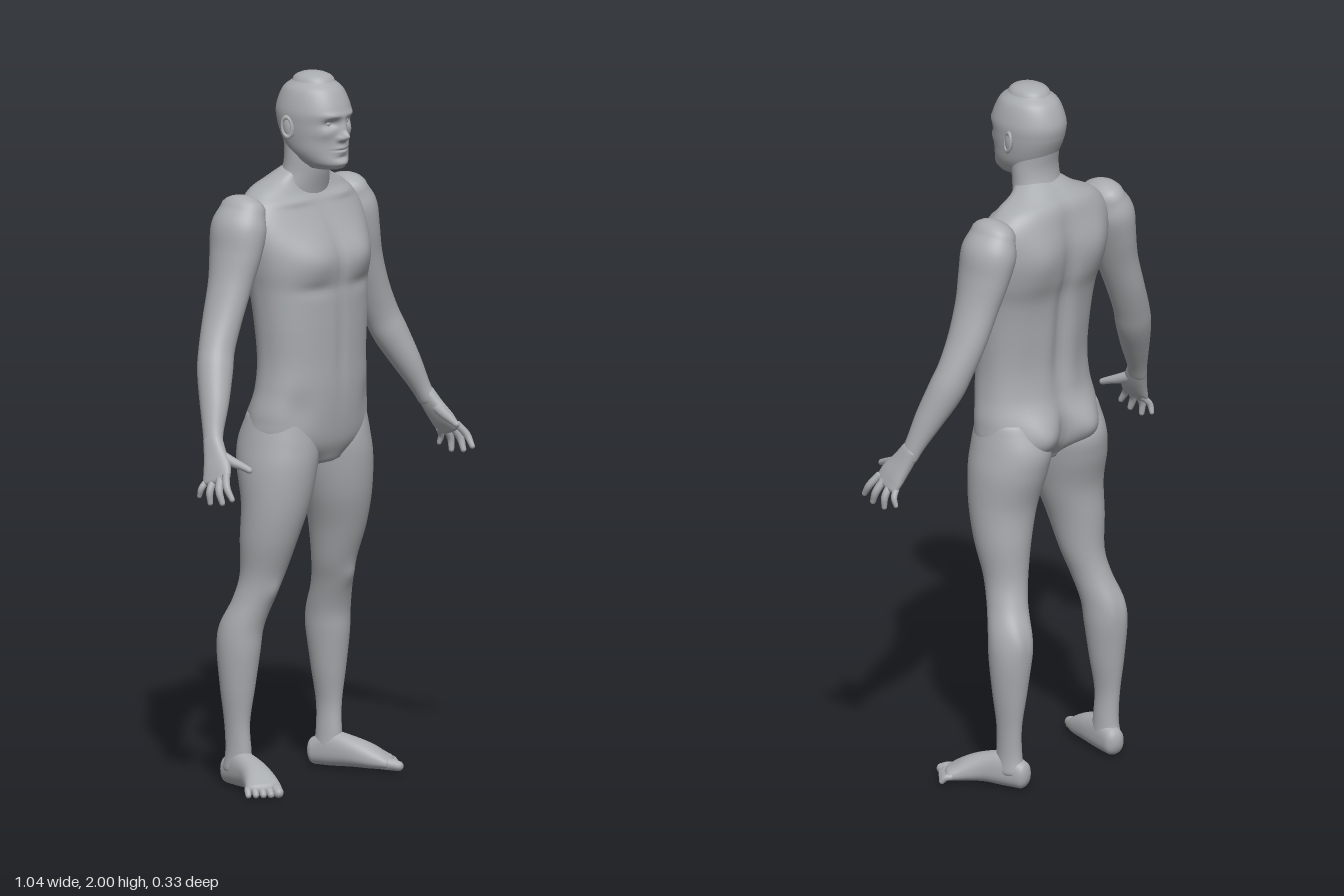
import * as THREE from 'three';

const skin = new THREE.MeshStandardMaterial({ color: 0xa9acaf });
skin.name = 'grey skin';

const X = new THREE.Vector3(1, 0, 0), Y = new THREE.Vector3(0, 1, 0), Z = new THREE.Vector3(0, 0, 1);
const DOWN = new THREE.Vector3(0, -1, 0);

// Sum of soft bumps [x, y, spreadX, spreadY, height], mirrored across x
function swell(list, x, y) {
  let sum = 0;
  for (const [bx, by, sx, sy, h] of list) {
    for (const s of bx ? [1, -1] : [1]) {
      sum += h * Math.exp(-(((x - s * bx) / sx) ** 2) - ((y - by) / sy) ** 2);
    }
  }
  return sum;
}

// Smooth skin through rings [x, y, z, halfWidth, frontDepth, backDepth], with rounded ends
function loft(rings, { ref = Z, flat = false, segs = 32, steps = 6, caps = [0.01, 0.01], power = 2, front = [], back = [] } = {}) {
  const path = new THREE.CatmullRomCurve3(rings.map(r => new THREE.Vector3(r[0], r[1], r[2])), false, 'catmullrom');
  const size = new THREE.CatmullRomCurve3(rings.map(r => new THREE.Vector3(r[3], r[4], r[5])), false, 'catmullrom');
  const count = (rings.length - 1) * steps, sections = [];
  const add = (k, offset, scale) => {
    const t = flat ? DOWN.clone() : path.getTangent(k);
    const v = ref.clone().addScaledVector(t, -ref.dot(t)).normalize();
    const u = new THREE.Vector3().crossVectors(v, t);
    sections.push({ c: path.getPoint(k).addScaledVector(t, offset), s: size.getPoint(k).multiplyScalar(scale), u, v });
  };
  const N = 5, arc = i => (i / N) * Math.PI / 2;
  for (let i = N; i > 0; i--) add(0, -caps[0] * Math.sin(arc(i)), Math.cos(arc(i)));
  for (let i = 0; i <= count; i++) add(i / count, 0, 1);
  for (let i = 1; i <= N; i++) add(1, caps[1] * Math.sin(arc(i)), Math.cos(arc(i)));

  const pos = [], index = [], last = sections.length - 1;
  const round = n => Math.sign(n) * Math.abs(n) ** (2 / power);
  const put = (p, sin) => {
    const f = THREE.MathUtils.clamp(sin * 3, 0, 1), b = THREE.MathUtils.clamp(-sin * 3, 0, 1);
    pos.push(p.x, p.y, p.z + f * swell(front, p.x, p.y) - b * swell(back, p.x, p.y));
  };
  put(sections[0].c, 0);
  for (const { c, s, u, v } of sections.slice(1, last)) {
    for (let j = 0; j < segs; j++) {
      const a = (j / segs) * Math.PI * 2, sin = Math.sin(a);
      put(c.clone().addScaledVector(u, s.x * round(Math.cos(a))).addScaledVector(v, (sin > 0 ? s.y : s.z) * round(sin)), sin);
    }
  }
  put(sections[last].c, 0);
  const end = pos.length / 3 - 1, at = (i, j) => 1 + i * segs + (j % segs);
  for (let j = 0; j < segs; j++) {
    index.push(0, at(0, j + 1), at(0, j));
    for (let i = 0; i < last - 2; i++) {
      index.push(at(i, j), at(i, j + 1), at(i + 1, j), at(i, j + 1), at(i + 1, j + 1), at(i + 1, j));
    }
    index.push(end, at(last - 2, j), at(last - 2, j + 1));
  }
  const geo = new THREE.BufferGeometry();
  geo.setAttribute('position', new THREE.Float32BufferAttribute(pos, 3));
  geo.setIndex(index);
  geo.computeVertexNormals();
  return geo;
}

// Finger or toe through points [x, y, z, radius]
const digit = points => loft(points.map(([x, y, z, r]) => [x, y, z, r, r, r]),
  { ref: X, segs: 12, steps: 5, caps: [0.005, points[points.length - 1][3]] });

function mirrored(geo) {
  const g = geo.clone().scale(-1, 1, 1), a = g.index.array;
  for (let i = 0; i < a.length; i += 3) [a[i], a[i + 1]] = [a[i + 1], a[i]];
  g.computeVertexNormals();
  return g;
}

export function createModel() {
  const model = new THREE.Group();
  model.name = 'standing figure';
  const add = (name, geo) => {
    const mesh = new THREE.Mesh(geo, skin);
    mesh.name = name;
    model.add(mesh);
  };
  const pair = (name, geo) => {
    add(name + 'Left', geo);
    add(name + 'Right', mirrored(geo));
  };

  // Torso with chest, shoulder blades, spine groove and buttocks
  add('torso', loft([
    [0, 1.735, -0.025, 0.06, 0.05, 0.045], [0, 1.70, -0.042, 0.11, 0.055, 0.07],
    [0, 1.67, -0.05, 0.17, 0.07, 0.085], [0, 1.62, -0.045, 0.215, 0.095, 0.1],
    [0, 1.55, -0.03, 0.222, 0.115, 0.122], [0, 1.47, -0.02, 0.21, 0.13, 0.125],
    [0, 1.40, -0.01, 0.196, 0.123, 0.118], [0, 1.30, 0, 0.186, 0.115, 0.115],
    [0, 1.20, 0, 0.18, 0.115, 0.105], [0, 1.12, 0, 0.186, 0.115, 0.11],
    [0, 1.04, -0.01, 0.199, 0.12, 0.11], [0, 0.97, -0.02, 0.19, 0.12, 0.09],
    [0, 0.92, -0.005, 0.09, 0.085, 0.07]],
  { flat: true, segs: 96, steps: 8, caps: [0.005, 0.025], power: 2.3,
    front: [[0.09, 1.495, 0.075, 0.06, 0.024], [0.09, 1.405, 0.06, 0.018, -0.006], [0, 1.5, 0.014, 0.09, -0.006],
      [0, 1.24, 0.016, 0.13, -0.005], [0.1, 1.645, 0.07, 0.01, 0.008], [0.14, 1.07, 0.04, 0.05, -0.008]],
    back: [[0.11, 1.54, 0.07, 0.09, 0.02], [0, 1.38, 0.025, 0.24, -0.016], [0.05, 1.2, 0.035, 0.12, 0.006],
      [0.09, 1.0, 0.065, 0.07, 0.045], [0, 0.99, 0.018, 0.06, -0.02]] }));

  add('neck', loft([
    [0, 1.83, -0.01, 0.07, 0.06, 0.07], [0, 1.77, -0.01, 0.072, 0.058, 0.06],
    [0, 1.72, -0.018, 0.075, 0.06, 0.06], [0, 1.67, -0.03, 0.088, 0.06, 0.07],
    [0, 1.62, -0.04, 0.09, 0.06, 0.07]], { flat: true, segs: 48 }));

  // Head: the face is shaped by soft bumps
  add('head', loft([
    [0, 1.975, 0.01, 0.052, 0.062, 0.06], [0, 1.95, 0.01, 0.075, 0.09, 0.09],
    [0, 1.90, 0.012, 0.09, 0.11, 0.112], [0, 1.86, 0.012, 0.09, 0.107, 0.108],
    [0, 1.82, 0.015, 0.085, 0.1, 0.095], [0, 1.785, 0.025, 0.077, 0.09, 0.085],
    [0, 1.755, 0.04, 0.061, 0.08, 0.075], [0, 1.74, 0.05, 0.045, 0.063, 0.06]],
  { flat: true, segs: 128, steps: 16, caps: [0.025, 0.01], power: 2.1,
    front: [[0, 1.828, 0.012, 0.013, 0.022], [0, 1.85, 0.011, 0.026, 0.012], [0.013, 1.822, 0.008, 0.008, 0.008],
      [0.036, 1.866, 0.019, 0.012, -0.014], [0.035, 1.888, 0.03, 0.009, 0.005], [0.056, 1.838, 0.02, 0.016, 0.005],
      [0, 1.79, 0.024, 0.013, 0.008], [0, 1.79, 0.024, 0.003, -0.006], [0, 1.768, 0.02, 0.006, -0.004],
      [0, 1.752, 0.022, 0.012, 0.006]] }));
  pair('eye', new THREE.SphereGeometry(0.012, 20, 14).translate(0.036, 1.866, 0.09));
  pair('ear', new THREE.SphereGeometry(1, 20, 14).scale(0.009, 0.03, 0.017)
    .rotateX(-0.15).rotateY(-0.25).translate(0.091, 1.852, 0));
  pair('earRim', new THREE.TorusGeometry(0.021, 0.005, 10, 28).scale(0.72, 1.3, 1)
    .rotateY(Math.PI / 2 - 0.3).rotateX(-0.15).translate(0.097, 1.853, -0.002));

  // Shoulder to wrist
  pair('arm', loft([
    [0.215, 1.63, -0.06, 0.052, 0.07, 0.072], [0.232, 1.58, -0.06, 0.067, 0.084, 0.086],
    [0.25, 1.51, -0.058, 0.06, 0.08, 0.08], [0.275, 1.43, -0.055, 0.053, 0.066, 0.068],
    [0.31, 1.34, -0.052, 0.049, 0.058, 0.06], [0.345, 1.26, -0.043, 0.049, 0.051, 0.052],
    [0.37, 1.20, -0.028, 0.049, 0.05, 0.05], [0.405, 1.12, 0, 0.038, 0.042, 0.042],
    [0.435, 1.05, 0.022, 0.026, 0.031, 0.031], [0.45, 1.01, 0.036, 0.021, 0.029, 0.029]],
  { segs: 40, steps: 7, caps: [0.042, 0.01] }));

  pair('hand', loft([
    [0.446, 1.03, 0.03, 0.021, 0.028, 0.028], [0.46, 0.99, 0.05, 0.02, 0.036, 0.034],
    [0.475, 0.955, 0.07, 0.018, 0.045, 0.043], [0.488, 0.928, 0.081, 0.013, 0.045, 0.045]],
  { segs: 28, caps: [0.01, 0.012], power: 2.4 }));
  const fingers = [
    ['indexFinger', [0.486, 0.945, 0.113], [0.505, 0.885, 0.152], 0.0105],
    ['middleFinger', [0.488, 0.935, 0.094], [0.507, 0.871, 0.118], 0.011],
    ['ringFinger', [0.488, 0.928, 0.07], [0.507, 0.866, 0.074], 0.0105],
    ['littleFinger', [0.485, 0.925, 0.047], [0.504, 0.88, 0.032], 0.009]];
  for (const [name, a, b, r] of fingers) {
    const mid = a.map((n, i) => (n + b[i]) / 2 + (i === 0 ? 0.009 : 0));
    pair(name, digit([[...a, r], [...mid, r], [...b, r * 0.75]]));
  }
  pair('thumb', digit([[0.458, 0.995, 0.058, 0.017], [0.447, 0.975, 0.105, 0.014],
    [0.44, 0.966, 0.132, 0.011], [0.435, 0.957, 0.155, 0.009]]));

  // Hip to ankle
  pair('leg', loft([
    [0.115, 1.04, -0.02, 0.08, 0.1, 0.095], [0.108, 0.97, -0.02, 0.103, 0.113, 0.125],
    [0.117, 0.90, -0.02, 0.106, 0.115, 0.118], [0.13, 0.80, -0.015, 0.095, 0.097, 0.097],
    [0.144, 0.70, -0.027, 0.078, 0.082, 0.083], [0.15, 0.60, -0.045, 0.061, 0.064, 0.065],
    [0.164, 0.53, -0.065, 0.055, 0.06, 0.06], [0.182, 0.45, -0.09, 0.058, 0.06, 0.065],
    [0.188, 0.38, -0.1, 0.057, 0.063, 0.062], [0.191, 0.28, -0.1, 0.046, 0.05, 0.053],
    [0.193, 0.18, -0.1, 0.031, 0.038, 0.041], [0.19, 0.10, -0.1, 0.03, 0.042, 0.039],
    [0.19, 0.05, -0.1, 0.034, 0.045, 0.048]],
  { flat: true, segs: 48, steps: 7, caps: [0.03, 0.02],
    front: [[0.16, 0.555, 0.025, 0.03, 0.007]],
    back: [[0.155, 0.43, 0.02, 0.06, 0.005], [0.21, 0.44, 0.02, 0.06, 0.005]] }));

  // Foot, turned outward, with five toes
  pair('foot', loft([
    [0.18, 0.038, -0.138, 0.03, 0.042, 0.036], [0.192, 0.042, -0.09, 0.035, 0.06, 0.04],
    [0.21, 0.042, -0.03, 0.04, 0.046, 0.038], [0.235, 0.03, 0.02, 0.047, 0.036, 0.028],
    [0.259, 0.021, 0.054, 0.051, 0.021, 0.019]],
  { ref: Y, segs: 36, caps: [0.022, 0.02], power: 2.3 }));
  for (let i = 0; i < 5; i++) {
    const s = i / 4, mix = (a, b) => a + (b - a) * s, r = i ? 0.0125 - i * 0.0007 : 0.017;
    pair('toe' + (i + 1), digit([
      [mix(0.228, 0.292), 0.021, mix(0.062, 0.024), r], [mix(0.243, 0.304), 0.019, mix(0.086, 0.035), r],
      [mix(0.252, 0.311), r * 0.9, mix(0.102, 0.043), r * 0.85]]));
  }
  return model;
}
